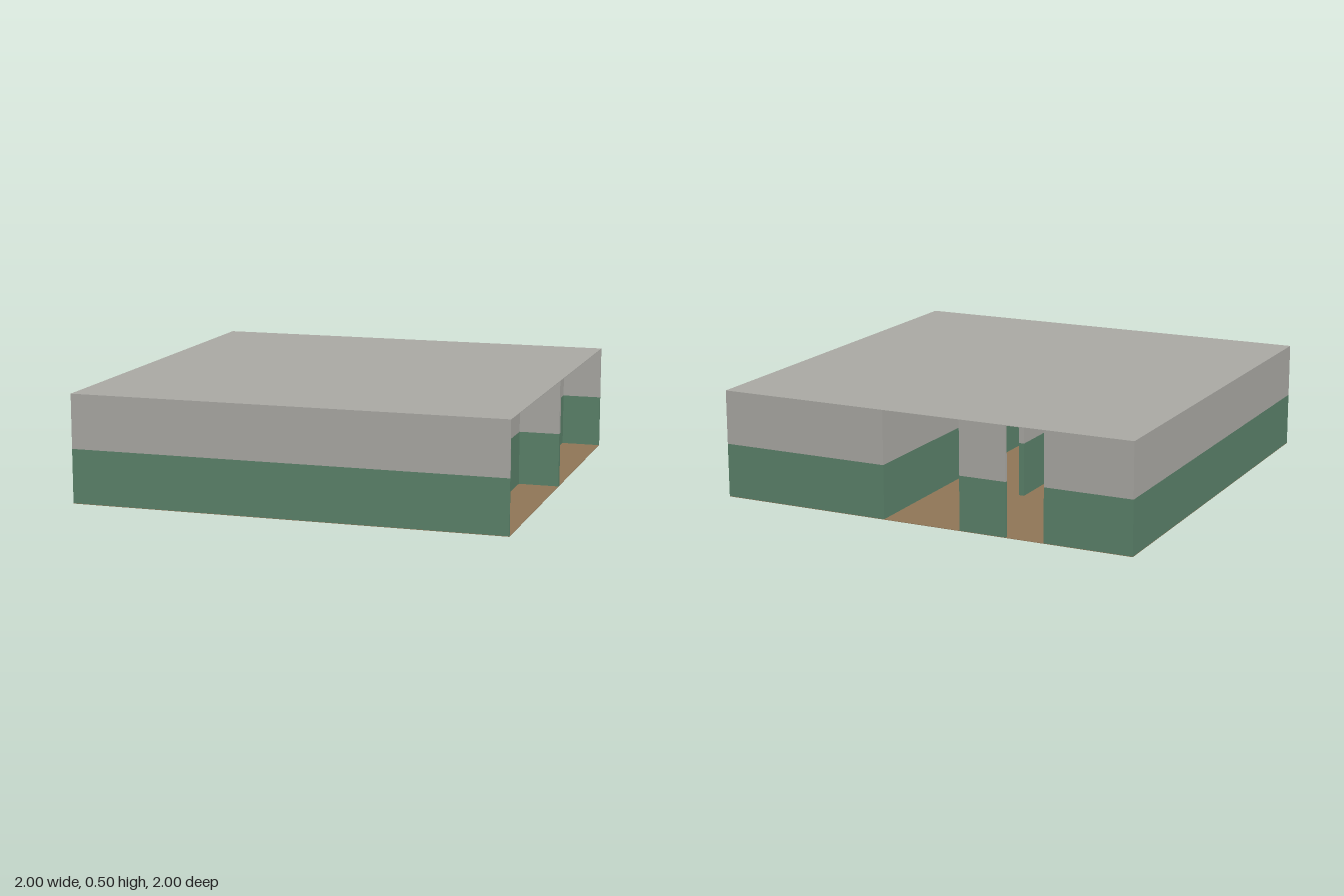
import * as THREE from 'three';

export function createModel() {
  const model = new THREE.Group();
  model.name = 'roomBlock';

  const grey = new THREE.MeshStandardMaterial({ color: 0xaaa9a4 });
  grey.name = 'plasterGrey';
  const green = new THREE.MeshStandardMaterial({ color: 0x5b826a });
  green.name = 'dadoGreen';
  const tan = new THREE.MeshStandardMaterial({ color: 0x8f7656 });
  tan.name = 'floorTan';

  const HEIGHT = 0.5, SPLIT = 0.25, SLAB = 0.002;
  const HALF = 0.0125; // half the thickness of an inner wall

  // Box given by its lower and upper corners
  function box(parent, name, material, [x0, y0, z0], [x1, y1, z1]) {
    const mesh = new THREE.Mesh(new THREE.BoxGeometry(x1 - x0, y1 - y0, z1 - z0), material);
    mesh.position.set((x0 + x1) / 2, (y0 + y1) / 2, (z0 + z1) / 2);
    mesh.name = name;
    parent.add(mesh);
  }

  // Two-tone wall: green below, grey above
  function wall(name, x0, x1, z0, z1) {
    const group = new THREE.Group();
    group.name = name;
    box(group, 'lowerWall', green, [x0, SLAB, z0], [x1, SPLIT, z1]);
    box(group, 'upperWall', grey, [x0, SPLIT, z0], [x1, HEIGHT - SLAB, z1]);
    model.add(group);
  }
  const wallAlongZ = (name, x, spans) =>
    spans.forEach(([z0, z1]) => wall(name, x - HALF, x + HALF, z0, z1));
  const wallAlongX = (name, z0, z1, spans) =>
    spans.forEach(([x0, x1]) => wall(name, x0, x1, z0, z1));

  // Floor and ceiling slabs
  box(model, 'floor', tan, [-1, 0, -1], [1, SLAB, 1]);
  box(model, 'ceiling', grey, [-1, HEIGHT - SLAB, -1], [1, HEIGHT, 1]);

  // Outer walls: solid front and one side, back with a doorway and a corridor mouth
  const inner = [[-1, -0.2 - HALF], [-0.2 + HALF, 0.2 - HALF], [0.2 + HALF, 1]];
  wallAlongX('frontWall', 0.994, 1, inner);
  wall('sideWall', -1, -0.994, -1, 0.994);
  wallAlongX('backWall', -1, -1 + HALF,
    [[-0.994, -0.59], [-0.41, -0.2 - HALF], [0.2 + HALF, 0.8 - HALF], [0.8 + HALF, 1]]);

  // Corridor walls, with doorways on one side
  wallAlongZ('corridorWall', -0.2, [[-1, -0.6], [-0.41, 0.41], [0.59, 1]]);
  wallAlongZ('corridorWall', 0.2, [[-1, 1]]);

  // Wall along the open side passage, with two doorways
  wallAlongZ('passageWall', 0.8, [[-1, -0.39], [-0.21, 0.81]]);

  // Cross walls dividing the rooms and the side passage
  wallAlongX('crossWall', -HALF, HALF,
    [[-0.994, -0.2 - HALF], [0.2 + HALF, 0.8 - HALF], [0.8 + HALF, 1]]);

  return model;
}
